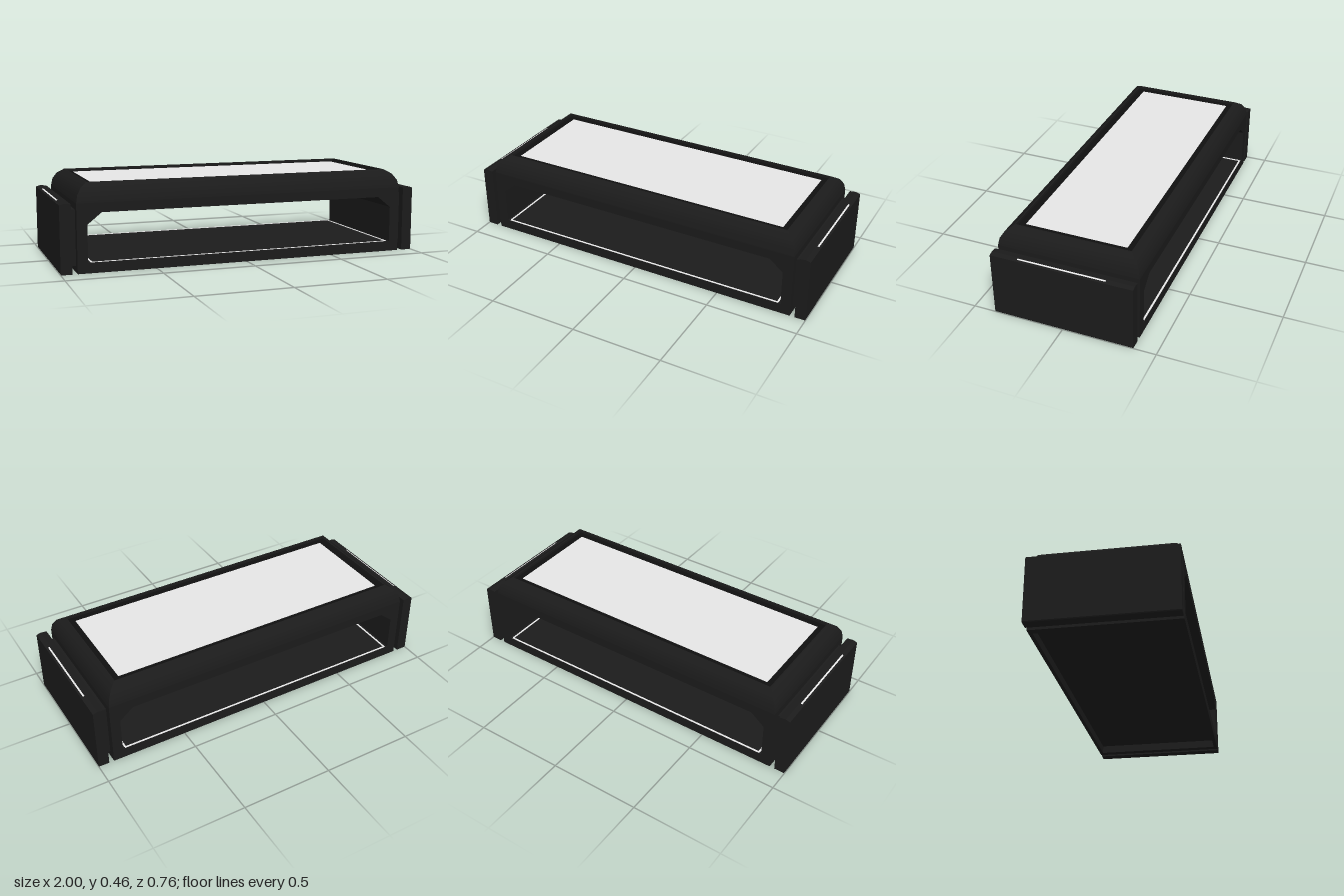
import * as THREE from 'three';

function flatColour(name, color) {
  const m = new THREE.MeshStandardMaterial({ color });
  m.name = name;
  return m;
}
const frameMat = flatColour('charcoal', 0x1b1b1b);
const sealMat = flatColour('black seal', 0x101010);
const glassMat = flatColour('pale glass', 0xe6e6e6);
const lightMat = flatColour('light strip white', 0xffffff);

function add(parent, name, geometry, material, x = 0, y = 0, z = 0) {
  const mesh = new THREE.Mesh(geometry, material);
  mesh.name = name;
  mesh.position.set(x, y, z);
  parent.add(mesh);
  return mesh;
}

// Box given by its size and the height of its underside
function box(parent, name, w, h, d, material, x, y, z) {
  return add(parent, name, new THREE.BoxGeometry(w, h, d), material, x, y + h / 2, z);
}

function polygon(points) {
  return new THREE.Shape(points.map(([x, y]) => new THREE.Vector2(x, y)));
}

function rectangle(hx, hy) {
  return polygon([[-hx, -hy], [hx, -hy], [hx, hy], [-hx, hy]]);
}

// Outline in x and y, run along z and centred
function extrudeZ(shape, depth) {
  return new THREE.ExtrudeGeometry(shape, { depth, bevelEnabled: false }).translate(0, 0, -depth / 2);
}

// Flat rectangular ring lying level, standing on y = 0
function ring(hx, hz, innerX, innerZ, height) {
  const shape = rectangle(hx, hz);
  shape.holes.push(rectangle(innerX, innerZ));
  return extrudeZ(shape, height).rotateX(-Math.PI / 2).translate(0, height / 2, 0);
}

const HX = 0.914, HZ = 0.38, SHELF = 0.045;

// Front outline with a chamfered opening, run through the full depth
function bodyGeometry() {
  const shape = polygon([[-HX, SHELF], [HX, SHELF], [HX, 0.36], [-HX, 0.36]]);
  shape.holes.push(polygon([
    [-0.86, 0.055], [-0.86, 0.25], [-0.785, 0.31], [0.785, 0.31], [0.86, 0.25], [0.86, 0.055],
  ]));
  return extrudeZ(shape, 2 * HZ);
}

// One rounded edge of the top, mitred at both ends; faces +z before turning
function roundedEdge(halfLength, reach) {
  const profile = [[0, 0.36], [0.008, 0.40], [0.03, 0.435], [0.065, 0.458]];
  const pos = [], index = [];
  for (const [inset, y] of profile) {
    const l = halfLength - inset;
    pos.push(-l, y, reach - inset, l, y, reach - inset);
  }
  for (let i = 0; i < profile.length - 1; i++) {
    const a = i * 2;
    index.push(a, a + 1, a + 3, a, a + 3, a + 2);
  }
  const g = new THREE.BufferGeometry();
  g.setAttribute('position', new THREE.Float32BufferAttribute(pos, 3));
  g.setIndex(index);
  g.computeVertexNormals();
  return g;
}

export function createModel() {
  const root = new THREE.Group();
  root.name = 'coffeeTable';

  // Body on a base rim, hollow underneath
  add(root, 'body', bodyGeometry(), frameMat);
  add(root, 'baseRim', ring(HX, HZ, HX - 0.04, HZ - 0.02, SHELF), frameMat);

  // Rounded top rim: four mitred sides and a thin flat lip
  const top = new THREE.Group();
  top.name = 'topRim';
  root.add(top);
  for (let i = 0; i < 4; i++) {
    const g = i % 2 ? roundedEdge(HZ, HX) : roundedEdge(HX, HZ);
    add(top, 'roundedEdge', g, frameMat).rotation.y = i * Math.PI / 2;
  }
  add(top, 'lip', ring(HX - 0.065, HZ - 0.065, 0.842, 0.31, 0.02), frameMat, 0, 0.438, 0);

  // Glass set into the recess, with a dark seal around it
  box(root, 'seal', 1.684, 0.01, 0.62, sealMat, 0, 0.434, 0);
  box(root, 'glassPanel', 1.612, 0.006, 0.548, glassMat, 0, 0.439, 0);

  // Small sensor under the ceiling
  box(root, 'sensor', 0.035, 0.008, 0.035, frameMat, 0, 0.303, 0);

  // Thin light strips around the shelf
  for (const s of [-1, 1]) {
    box(root, 'shelfLightLong', 1.69, 0.003, 0.01, lightMat, 0, 0.054, s * 0.372);
    box(root, 'shelfLightShort', 0.01, 0.003, 0.74, lightMat, s * 0.842, 0.054, 0);
  }

  // Side wings held off the body by a recessed neck; the top edge slopes outward
  const wingShape = polygon([
    [0.941, 0], [0.997, 0], [1, 0.005], [1, 0.355], [0.975, 0.362], [0.941, 0.358],
  ]);
  for (const turn of [0, Math.PI]) {
    const wing = new THREE.Group();
    wing.name = turn ? 'rightWing' : 'leftWing';
    wing.rotation.y = turn;
    root.add(wing);
    box(wing, 'neck', 0.05, 0.29, 0.68, frameMat, 0.925, 0.035, 0);
    add(wing, 'sidePanel', extrudeZ(wingShape, 2 * HZ), frameMat);
    // Light lying on the outward slope of the panel
    const light = new THREE.PlaneGeometry(0.009, 0.47).rotateX(-Math.PI / 2);
    add(wing, 'wingLight', light, lightMat, 0.985, 0.3602, 0).rotation.z = -Math.atan2(0.007, 0.025);
  }

  return root;
}
